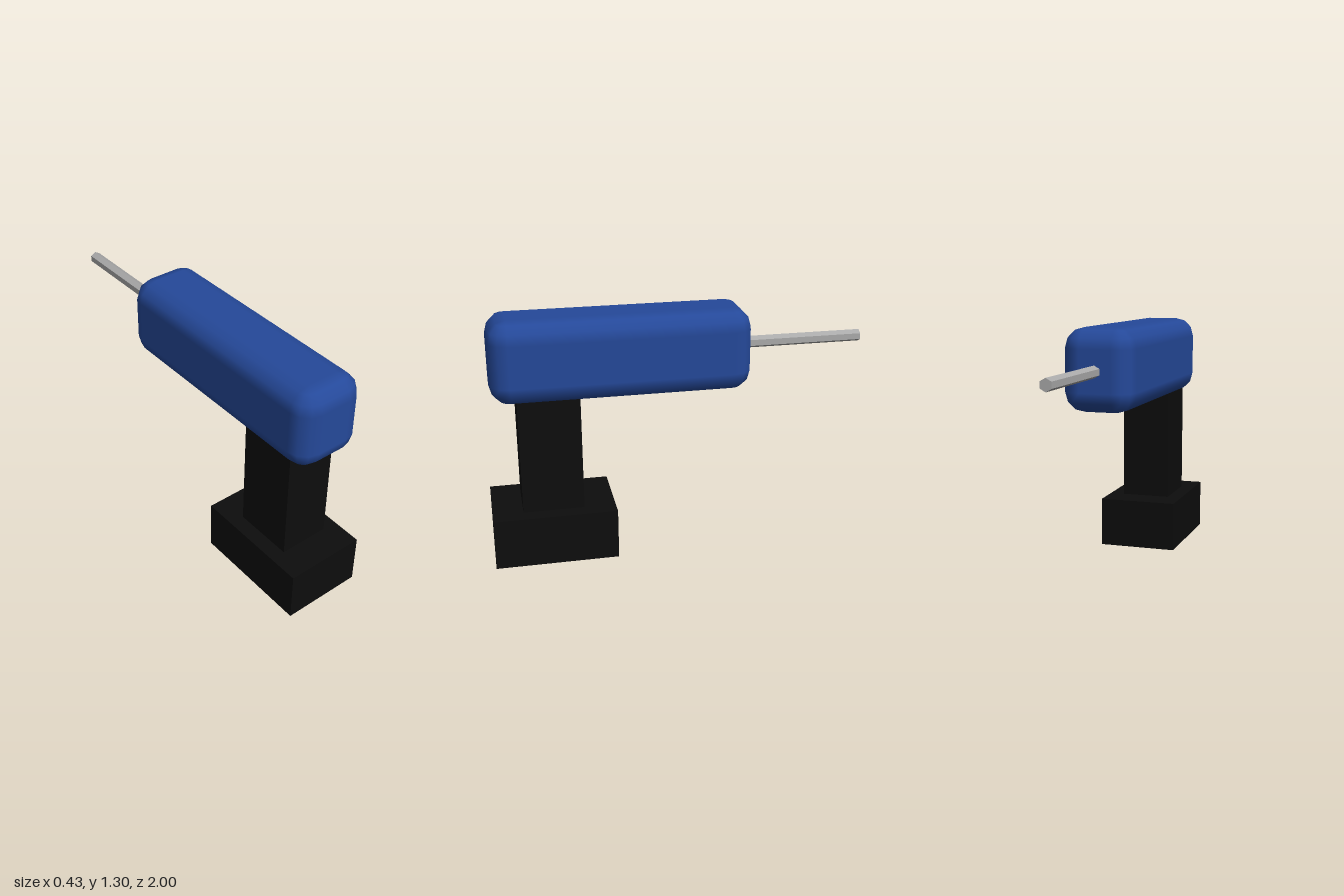
import * as THREE from 'three';
import { ConvexGeometry } from 'three/addons/geometries/ConvexGeometry.js';

// Box with rounded edges (three facets per quarter turn) and smooth normals
function softBox(w, h, d, r, steps = 3) {
  const core = new THREE.Vector3(w / 2 - r, h / 2 - r, d / 2 - r);
  const points = [];
  for (const sx of [-1, 1]) for (const sy of [-1, 1]) for (const sz of [-1, 1]) {
    for (let i = 0; i <= steps; i++) {
      const lat = (i / steps) * Math.PI / 2;
      const count = i === steps ? 0 : steps;
      for (let j = 0; j <= count; j++) {
        const lon = (j / steps) * Math.PI / 2;
        points.push(new THREE.Vector3(
          sx * (core.x + r * Math.cos(lat) * Math.cos(lon)),
          sy * (core.y + r * Math.sin(lat)),
          sz * (core.z + r * Math.cos(lat) * Math.sin(lon))));
      }
    }
  }
  const geometry = new ConvexGeometry(points);
  const pos = geometry.attributes.position;
  const p = new THREE.Vector3();
  const min = core.clone().negate();
  for (let i = 0; i < pos.count; i++) {
    p.fromBufferAttribute(pos, i);
    p.sub(p.clone().clamp(min, core)).normalize();
    geometry.attributes.normal.setXYZ(i, p.x, p.y, p.z);
  }
  return geometry;
}

export function createModel() {
  const group = new THREE.Group();
  const blue = new THREE.MeshStandardMaterial({ color: 0x25499a });
  blue.name = 'blue casing';
  const black = new THREE.MeshStandardMaterial({ color: 0x0d0d0d });
  black.name = 'black grip';
  const steel = new THREE.MeshStandardMaterial({ color: 0xaaaaaa });
  steel.name = 'steel';

  const add = (name, geometry, material, x, y, z) => {
    const mesh = new THREE.Mesh(geometry, material);
    mesh.name = name;
    mesh.position.set(x, y, z);
    group.add(mesh);
  };

  // Battery base and grip
  add('batteryBase', new THREE.BoxGeometry(0.43, 0.272, 0.646), black, 0, 0.136, 0.677);
  add('handle', new THREE.BoxGeometry(0.27, 0.7, 0.32), black, 0, 0.6, 0.68);

  // Motor housing
  add('housing', softBox(0.376, 0.43, 1.346, 0.105), blue, 0, 1.083, 0.298);

  // Hexagonal bit pointing backwards, with a ridge on top
  const bit = new THREE.CylinderGeometry(0.032, 0.032, 0.7, 6).rotateX(Math.PI / 2).toNonIndexed();
  bit.computeVertexNormals();
  add('bit', bit, steel, 0, 1.083, -0.65);

  return group;
}
